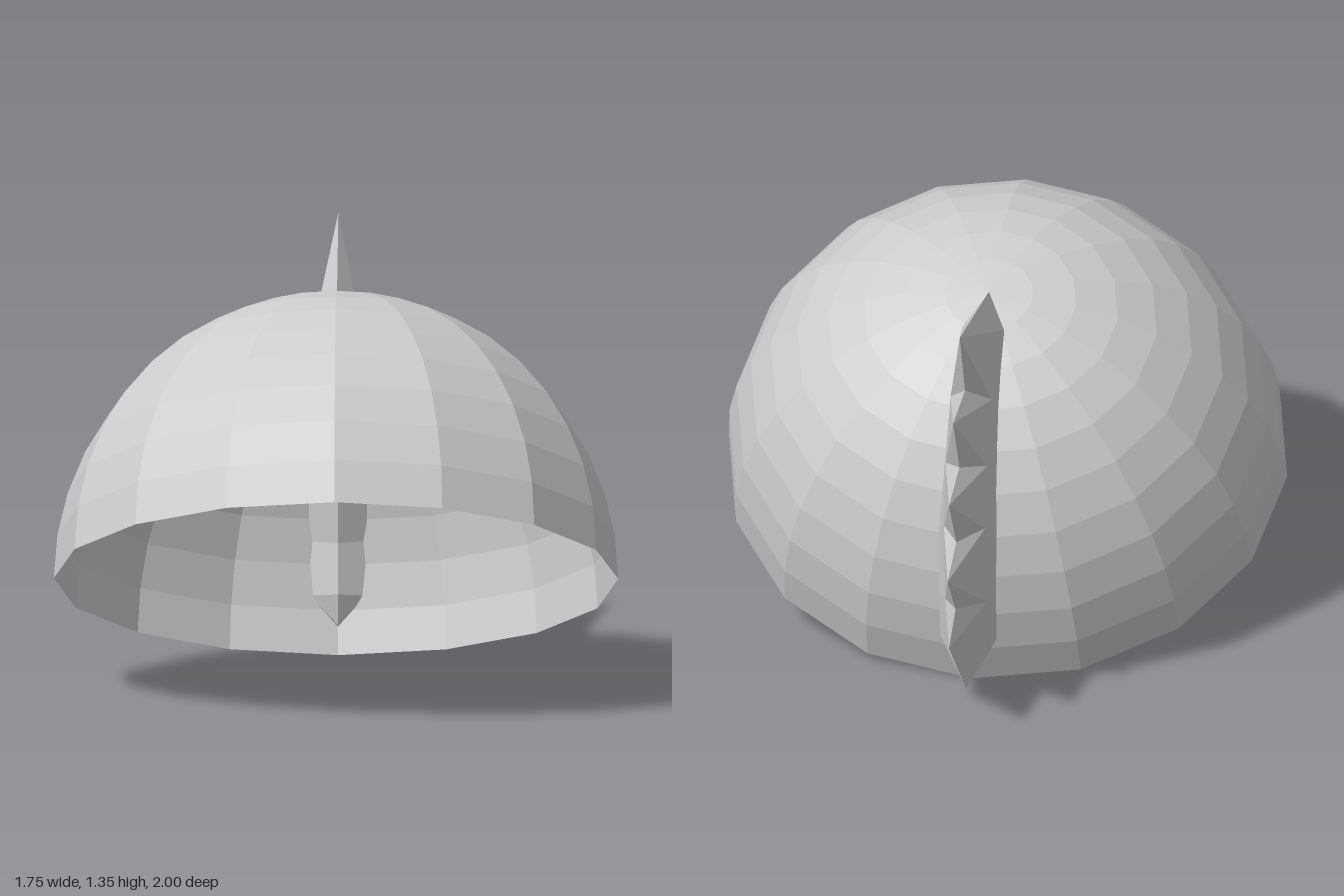
import * as THREE from 'three';

const TILT = 0.453;
const CENTRE = [0.3675, 0.245]; // y, z of the rim centre
const RX = 0.875, RZ = 0.84, H = 0.898;

// Point on the rear midline of the dome, deg measured up from the rim
function onDome(deg, x, scale = 1) {
  const t = THREE.MathUtils.degToRad(deg);
  const back = -RZ * scale * Math.cos(t), up = H * scale * Math.sin(t);
  const c = Math.cos(TILT), s = Math.sin(TILT);
  return new THREE.Vector3(x, CENTRE[0] + up * c + back * s, CENTRE[1] + back * c - up * s);
}

// Half of the crest on +x, mirrored to -x; every half face looks towards +x
function crestGeometry() {
  const at = (x, y, z) => new THREE.Vector3(x, y, z);
  const pos = [];
  const tri = (a, b, c) => {
    const n = b.clone().sub(a).cross(c.clone().sub(a));
    if (n.x < 0) [b, c] = [c, b];
    for (const p of [a, b, c]) pos.push(p.x, p.y, p.z);
    for (const p of [a, c, b]) pos.push(-p.x, p.y, p.z);
  };
  const quad = (a, b, c, d) => { tri(a, b, c); tri(a, c, d); };

  const start = onDome(90, 0);
  const end = at(0, 0.025, -0.62);
  const tips = [[1.35, -0.75], [1.12, -0.885], [0.875, -0.97], [0.62, -1.0], [0.365, -0.97]]
    .map(([y, z]) => at(0, y, z));
  const valleys = [[1.1, -0.64], [0.89, -0.755], [0.66, -0.82], [0.43, -0.835]]
    .map(([y, z]) => at(0, y, z));
  // Shoulders: the foot of each spike
  const side = [[1.11, -0.265], [1.0, -0.51], [0.82, -0.61], [0.62, -0.65], [0.34, -0.62]]
    .map(([y, z]) => at(0.065, y, z));
  side.push(end);
  // Root just under the dome surface, and the ridge on the inside
  const angles = [81, 70, 54, 38, 23, 12];
  const widths = [0.065, 0.07, 0.08, 0.09, 0.09, 0.088];
  const root = angles.map((a, i) => onDome(a, widths[i], 0.988));
  const ridge = angles.map((a) => onDome(a, 0, 0.93));
  const knob = onDome(6, 0, 0.985);

  // Spikes
  tri(start, side[0], tips[0]);
  tips.forEach((tip, i) => {
    tri(tip, side[i], side[i + 1]);
    if (i > 0) tri(tip, valleys[i - 1], side[i]);
    if (i < 4) tri(tip, valleys[i], side[i + 1]);
  });
  // Flanks and inner keel
  tri(start, root[0], side[0]);
  tri(start, root[0], ridge[0]);
  for (let i = 0; i < 5; i++) {
    quad(side[i], root[i], root[i + 1], side[i + 1]);
    quad(root[i], ridge[i], ridge[i + 1], root[i + 1]);
  }
  // Lower end
  tri(end, root[5], knob);
  tri(root[5], ridge[5], knob);

  const geo = new THREE.BufferGeometry();
  geo.setAttribute('position', new THREE.Float32BufferAttribute(pos, 3));
  geo.computeVertexNormals();
  return geo;
}

export function createModel() {
  const model = new THREE.Group();
  model.name = 'crestedHelmet';
  const grey = new THREE.MeshStandardMaterial({ color: 0xcccccc, flatShading: true, side: THREE.DoubleSide });
  grey.name = 'light grey';

  // Open half-dome, front tipped up
  const dome = new THREE.Mesh(new THREE.SphereGeometry(1, 16, 10, 0, Math.PI * 2, 0, Math.PI / 2), grey);
  dome.name = 'dome';
  dome.scale.set(RX, H, RZ);
  dome.rotation.x = -TILT;
  dome.position.set(0, CENTRE[0], CENTRE[1]);
  model.add(dome);

  // Spiked crest down the back
  const crest = new THREE.Mesh(crestGeometry(), grey);
  crest.name = 'spikedCrest';
  model.add(crest);
  return model;
}
